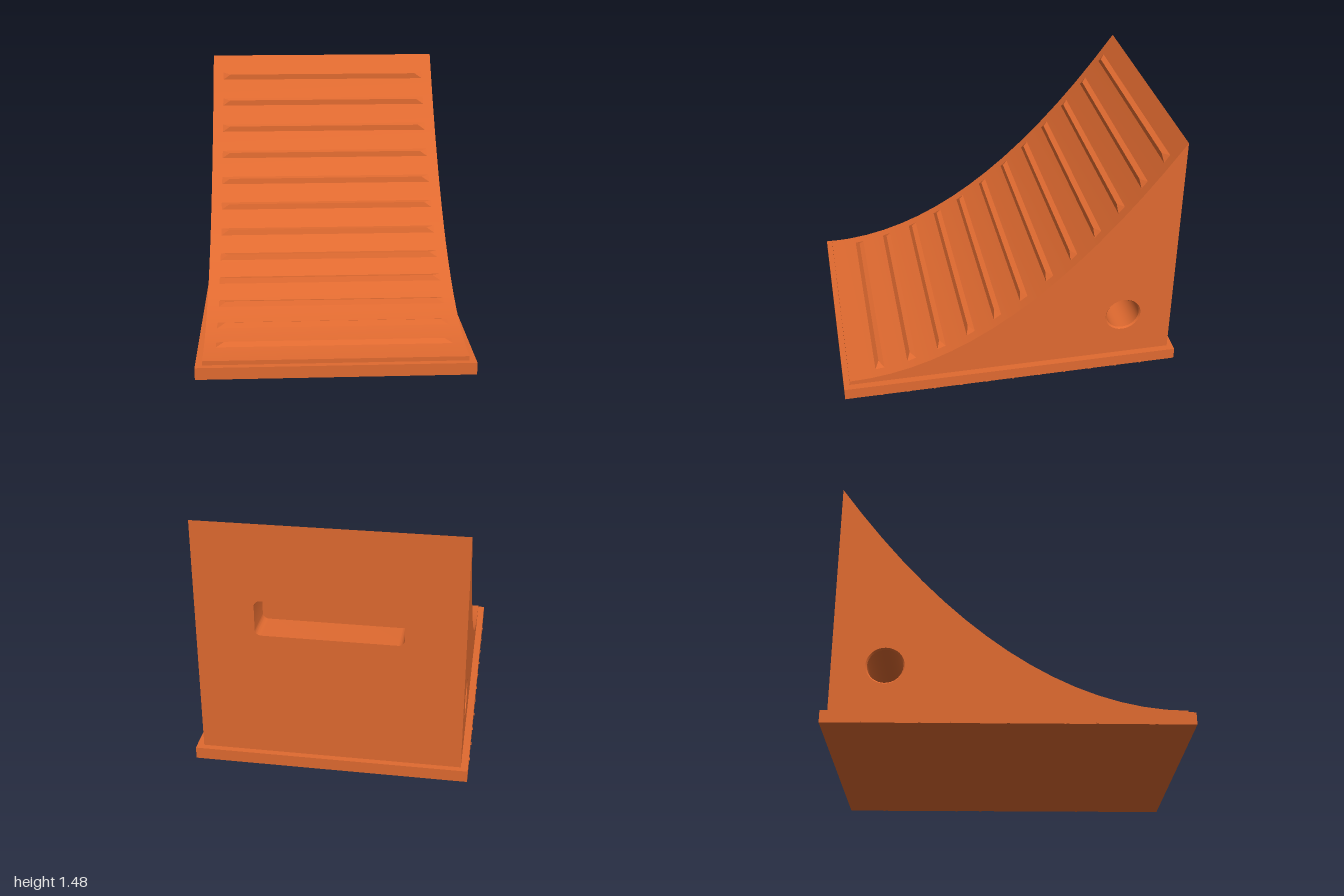
import * as THREE from 'three';
import { toCreasedNormals } from 'three/addons/utils/BufferGeometryUtils.js';

const W = 0.74, D = 0.965, BASE = 0.07, LIP = 0.095, TOP = 1.48;
const HOLE = { z: -0.67, y: 0.35, r: 0.107 };
const SLOT = { w: 0.82, h: 0.21, y: 0.925, r: 0.035, depth: 0.2 };

// Ramp height and slope at depth z
const rampT = (z) => (D - z) / (2 * D);
const rampY = (z) => LIP + (TOP - LIP) * rampT(z) ** 2;
const rampAngle = (z) => Math.atan((TOP - LIP) * rampT(z) / D);

// Rounded rectangle centred on (0, cy)
function roundedRect(path, w, h, cy, r) {
  const x = w / 2 - r, y = h / 2 - r, q = Math.PI / 2;
  path.absarc(x, cy + y, r, 0, q);
  path.absarc(-x, cy + y, r, q, 2 * q);
  path.absarc(-x, cy - y, r, 2 * q, 3 * q);
  path.absarc(x, cy - y, r, 3 * q, 4 * q);
  path.closePath();
  return path;
}

export function createModel() {
  const group = new THREE.Group();
  const orange = new THREE.MeshStandardMaterial({ color: 0xe06a30, side: THREE.DoubleSide });
  orange.name = 'orange';
  const add = (name, geometry, x = 0, y = 0, z = 0) => {
    const mesh = new THREE.Mesh(geometry, orange);
    mesh.name = name;
    mesh.position.set(x, y, z);
    group.add(mesh);
    return mesh;
  };

  // Base plate
  add('basePlate', new THREE.BoxGeometry(1.56, BASE, 2), 0, BASE / 2);

  // Small grip bars along the bottom edge
  for (let i = -5; i <= 5; i++) {
    add('gripBar', new THREE.BoxGeometry(1.568, 0.01, 0.014), 0, 0.005, i * 0.157);
  }

  // Curved ramp surface
  const segments = 16;
  const ramp = new THREE.PlaneGeometry(2 * W, 2 * D, 1, segments).rotateX(-Math.PI / 2);
  const pos = ramp.attributes.position;
  for (let i = 0; i < pos.count; i++) pos.setY(i, rampY(pos.getZ(i)));
  ramp.computeVertexNormals();
  add('rampSurface', ramp);
  add('frontLip', new THREE.PlaneGeometry(2 * W, LIP - BASE), 0, (LIP + BASE) / 2, D);

  // Side walls with a round opening (shape x runs towards the back)
  const side = new THREE.Shape();
  side.moveTo(-D, BASE);
  side.lineTo(D, BASE);
  for (let i = segments; i >= 0; i--) {
    const z = D - (2 * D * i) / segments;
    side.lineTo(-z, rampY(z));
  }
  side.closePath();
  side.holes.push(new THREE.Path().absarc(-HOLE.z, HOLE.y, HOLE.r, 0, Math.PI * 2, true));
  const sideGeometry = new THREE.ShapeGeometry(side, 16).rotateY(Math.PI / 2);
  add('leftWall', sideGeometry, W);
  add('rightWall', sideGeometry, -W).scale.x = -1;

  // Through bore with chamfered mouths
  const r = HOLE.r, inner = r - 0.008;
  const bore = new THREE.LatheGeometry([
    new THREE.Vector2(r, W), new THREE.Vector2(inner, W - 0.01),
    new THREE.Vector2(inner, -W + 0.01), new THREE.Vector2(r, -W),
  ], 32).rotateZ(Math.PI / 2);
  add('ropeBore', toCreasedNormals(bore, 0.4), 0, HOLE.y, HOLE.z);

  // Back wall with a handle slot
  const back = new THREE.Shape();
  back.moveTo(-W, BASE);
  back.lineTo(W, BASE);
  back.lineTo(W, TOP);
  back.lineTo(-W, TOP);
  back.closePath();
  back.holes.push(roundedRect(new THREE.Path(), SLOT.w, SLOT.h, SLOT.y, SLOT.r));
  add('backWall', new THREE.ShapeGeometry(back, 6).rotateY(Math.PI), 0, 0, -D);

  // Handle recess: collar and inner wall
  const collar = roundedRect(new THREE.Shape(), SLOT.w + 0.02, SLOT.h + 0.02, SLOT.y, SLOT.r + 0.01);
  collar.holes.push(roundedRect(new THREE.Path(), SLOT.w, SLOT.h, SLOT.y, SLOT.r));
  const collarGeometry = new THREE.ExtrudeGeometry(collar, {
    depth: SLOT.depth, bevelEnabled: false, curveSegments: 6,
  });
  add('handleCollar', toCreasedNormals(collarGeometry, 0.5), 0, 0, -D + 0.001);
  add('handleInnerWall', new THREE.PlaneGeometry(SLOT.w + 0.01, SLOT.h + 0.01).rotateY(Math.PI),
    0, SLOT.y, -D + SLOT.depth);

  // Hipped traction ribs across the ramp
  const ribBox = new THREE.BoxGeometry(1.36, 0.03, 0.062);
  const rp = ribBox.attributes.position;
  for (let i = 0; i < rp.count; i++) {
    if (rp.getY(i) > 0) rp.setXYZ(i, Math.sign(rp.getX(i)) * 0.625, 0.021, 0);
    else rp.setY(i, -0.002);
  }
  const rib = ribBox.toNonIndexed();
  rib.computeVertexNormals();
  const ribZ = [0.78, 0.59, 0.41, 0.235, 0.075, -0.08, -0.23, -0.37, -0.505, -0.635, -0.758, -0.875];
  for (const z of ribZ) add('tractionRib', rib, 0, rampY(z), z).rotation.x = rampAngle(z);

  return group;
}
